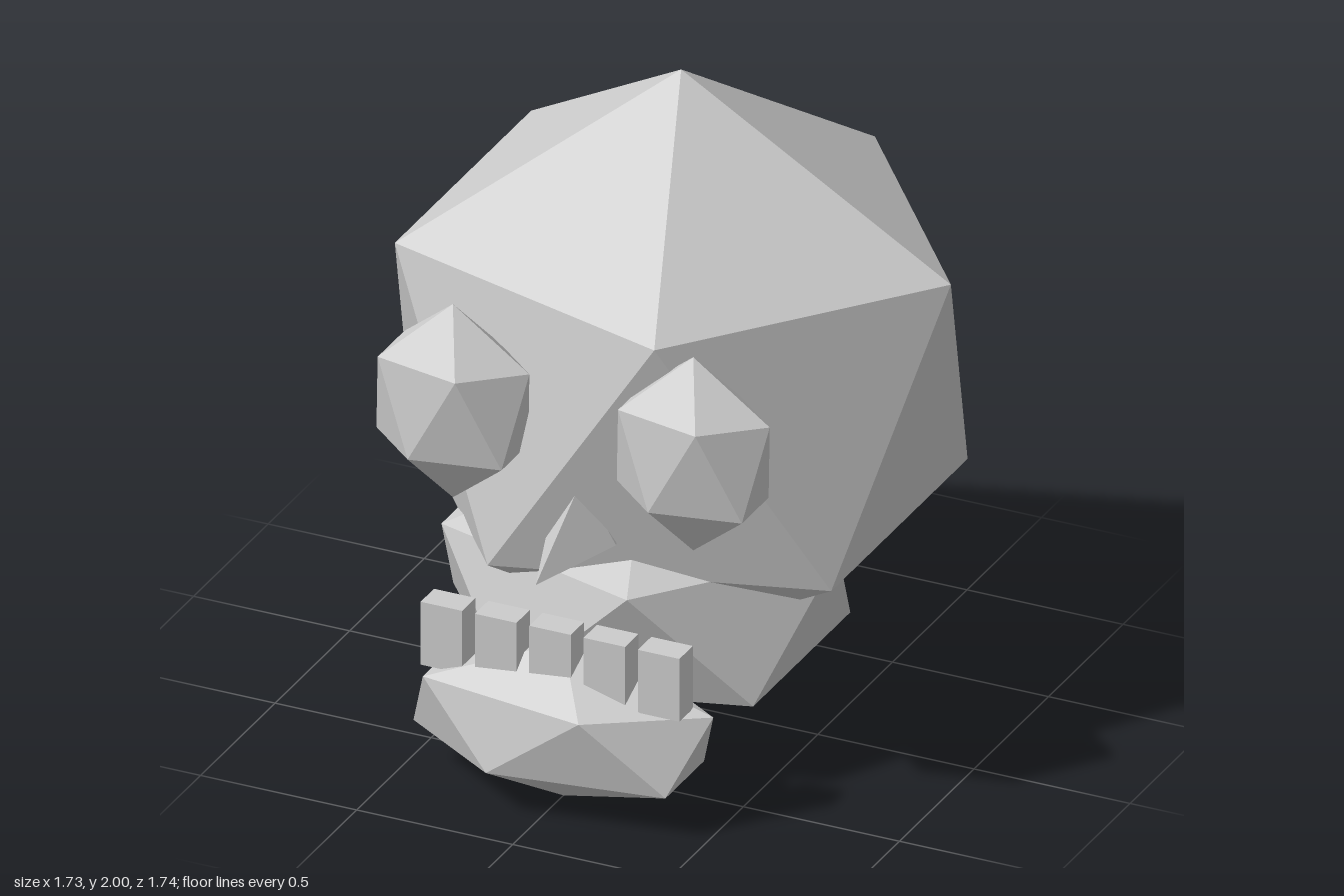
import * as THREE from 'three';

const bone = new THREE.MeshStandardMaterial({ color: 0xcccccc });
bone.name = 'bone grey';

// Faceted twenty-sided ball with its poles up and down, from two rings of five points
function facetedBall(rx, ry, rz) {
  const ringY = 1 / Math.sqrt(5), ringR = 2 / Math.sqrt(5);
  const pos = [0, ry, 0, 0, -ry, 0], index = [];
  for (const [y, turn] of [[ringY, 0], [-ringY, 0.5]]) {
    for (let k = 0; k < 5; k++) {
      const a = (k + turn) * Math.PI * 2 / 5;
      pos.push(rx * ringR * Math.cos(a), ry * y, rz * ringR * Math.sin(a));
    }
  }
  for (let k = 0; k < 5; k++) {
    const n = (k + 1) % 5, u = 2 + k, un = 2 + n, l = 7 + k, ln = 7 + n;
    index.push(0, un, u, u, un, l, l, un, ln, 1, l, ln);
  }
  const g = new THREE.BufferGeometry();
  g.setAttribute('position', new THREE.Float32BufferAttribute(pos, 3));
  g.setIndex(index);
  return flat(g);
}

// Separate the faces so that each one is shaded flat
function flat(geometry) {
  const g = geometry.toNonIndexed();
  g.computeVertexNormals();
  return g;
}

export function createModel() {
  const skull = new THREE.Group();
  skull.name = 'skull';
  const add = (name, geometry, x, y, z) => {
    const mesh = new THREE.Mesh(geometry, bone);
    mesh.name = name;
    mesh.position.set(x, y, z);
    skull.add(mesh);
    return mesh;
  };

  // Head and jaws
  add('cranium', facetedBall(0.966, 0.918, 0.87), 0, 1.082, -0.13);
  add('upperJaw', facetedBall(0.69, 0.416, 0.62), 0, 0.486, 0.107);
  add('lowerJaw', facetedBall(0.537, 0.25, 0.247), 0, 0.255, 0.66);

  // Eyes
  add('rightEye', facetedBall(0.274, 0.315, 0.171), -0.385, 1.175, 0.595);
  add('leftEye', facetedBall(0.274, 0.315, 0.171), 0.385, 1.175, 0.595);

  // Nose: a four-sided cone stretched forwards, tip dipping slightly
  const nose = flat(new THREE.ConeGeometry(1, 1, 4));
  nose.scale(0.11, 0.185, 0.31);
  nose.computeVertexNormals();
  add('nose', nose, 0, 0.88, 0.54).rotation.x = 0.03;

  // Row of teeth
  const tooth = new THREE.BoxGeometry(0.133, 0.205, 0.09);
  for (let i = -2; i <= 2; i++) add('tooth' + (i + 3), tooth, i * 0.174, 0.483, 0.705);

  return skull;
}
